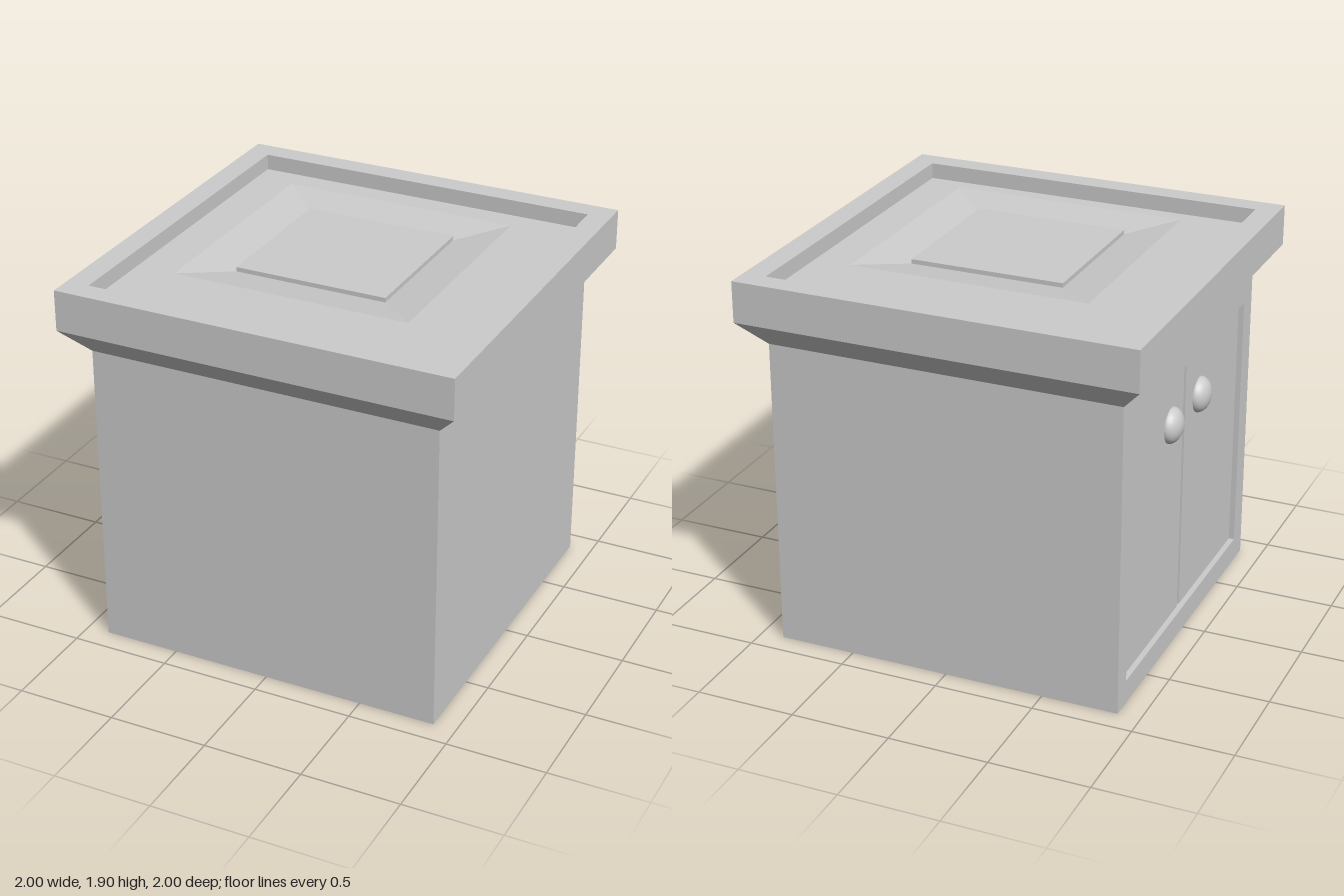
import * as THREE from 'three';

const grey = new THREE.MeshStandardMaterial({ color: 0xcccccc, flatShading: true });
const smooth = new THREE.MeshStandardMaterial({ color: 0xcccccc });

const HALF = 0.885;      // half width of the cabinet body
const BODY_TOP = 1.57;
const CORE_X = -0.81;    // back of the door cavity
const DOOR_X = -0.857;   // outer face of the doors
const OPEN = { z0: -0.78, z1: 0.77, y0: 0.12, y1: 1.45 };

export function createModel() {
  const group = new THREE.Group();

  const add = (name, geometry, material = grey) => {
    const mesh = new THREE.Mesh(geometry, material);
    mesh.name = name;
    group.add(mesh);
    return mesh;
  };

  // box given by its two extreme corners
  const box = (name, x0, x1, y0, y1, z0, z1) => {
    const mesh = add(name, new THREE.BoxGeometry(x1 - x0, y1 - y0, z1 - z0));
    mesh.position.set((x0 + x1) / 2, (y0 + y1) / 2, (z0 + z1) / 2);
    return mesh;
  };

  // square rings [half width, height] swept into a four-sided shell
  const squareLoft = (name, rings) => {
    const points = rings.map(([h, y]) => new THREE.Vector2(h * Math.SQRT2, y));
    const geometry = new THREE.LatheGeometry(points, 4, Math.PI / 4).toNonIndexed();
    geometry.computeVertexNormals();
    return add(name, geometry);
  };

  // cabinet body
  box('cabinetBody', CORE_X, HALF, 0, BODY_TOP, -HALF, HALF);

  // frame around the door opening, on the -x side
  const frame = new THREE.Shape([
    new THREE.Vector2(-HALF, 0), new THREE.Vector2(HALF, 0),
    new THREE.Vector2(HALF, BODY_TOP), new THREE.Vector2(-HALF, BODY_TOP),
  ]);
  frame.holes.push(new THREE.Path([
    new THREE.Vector2(OPEN.z0, OPEN.y0), new THREE.Vector2(OPEN.z0, OPEN.y1),
    new THREE.Vector2(OPEN.z1, OPEN.y1), new THREE.Vector2(OPEN.z1, OPEN.y0),
  ]));
  const frameGeometry = new THREE.ExtrudeGeometry(frame, { depth: HALF + CORE_X, bevelEnabled: false });
  frameGeometry.rotateY(-Math.PI / 2);   // shape x becomes z, depth runs to -x
  add('doorFrame', frameGeometry).position.x = CORE_X;

  // pair of recessed doors with knobs
  const middle = (OPEN.z0 + OPEN.z1) / 2;
  const gap = 0.014;
  box('doorBack', CORE_X, DOOR_X, OPEN.y0, OPEN.y1, OPEN.z0, middle - gap).geometry =
    new THREE.BoxGeometry(CORE_X - DOOR_X, OPEN.y1 - OPEN.y0, middle - gap - OPEN.z0);
  box('doorFront', DOOR_X, CORE_X, OPEN.y0, OPEN.y1, middle + gap, OPEN.z1);
  for (const side of [-1, 1]) {
    const knob = add(side < 0 ? 'knobBack' : 'knobFront', new THREE.SphereGeometry(1, 24, 16), smooth);
    knob.scale.set(0.06, 0.09, 0.09);
    knob.position.set(DOOR_X, 1.18, 0.01 + side * 0.195);
  }

  // flared cornice with a raised rim around a sunken top
  squareLoft('corniceTop', [
    [HALF, BODY_TOP], [1, 1.7], [1, 1.905], [HALF, 1.905], [HALF, 1.825], [0, 1.825],
  ]);

  // shallow square tray level with the rim, and its centre panel
  squareLoft('tray', [[0.597, 1.905], [0.385, 1.87], [0, 1.87]]);
  box('centrePanel', -0.385, 0.385, 1.865, 1.892, -0.385, 0.385);

  return group;
}
